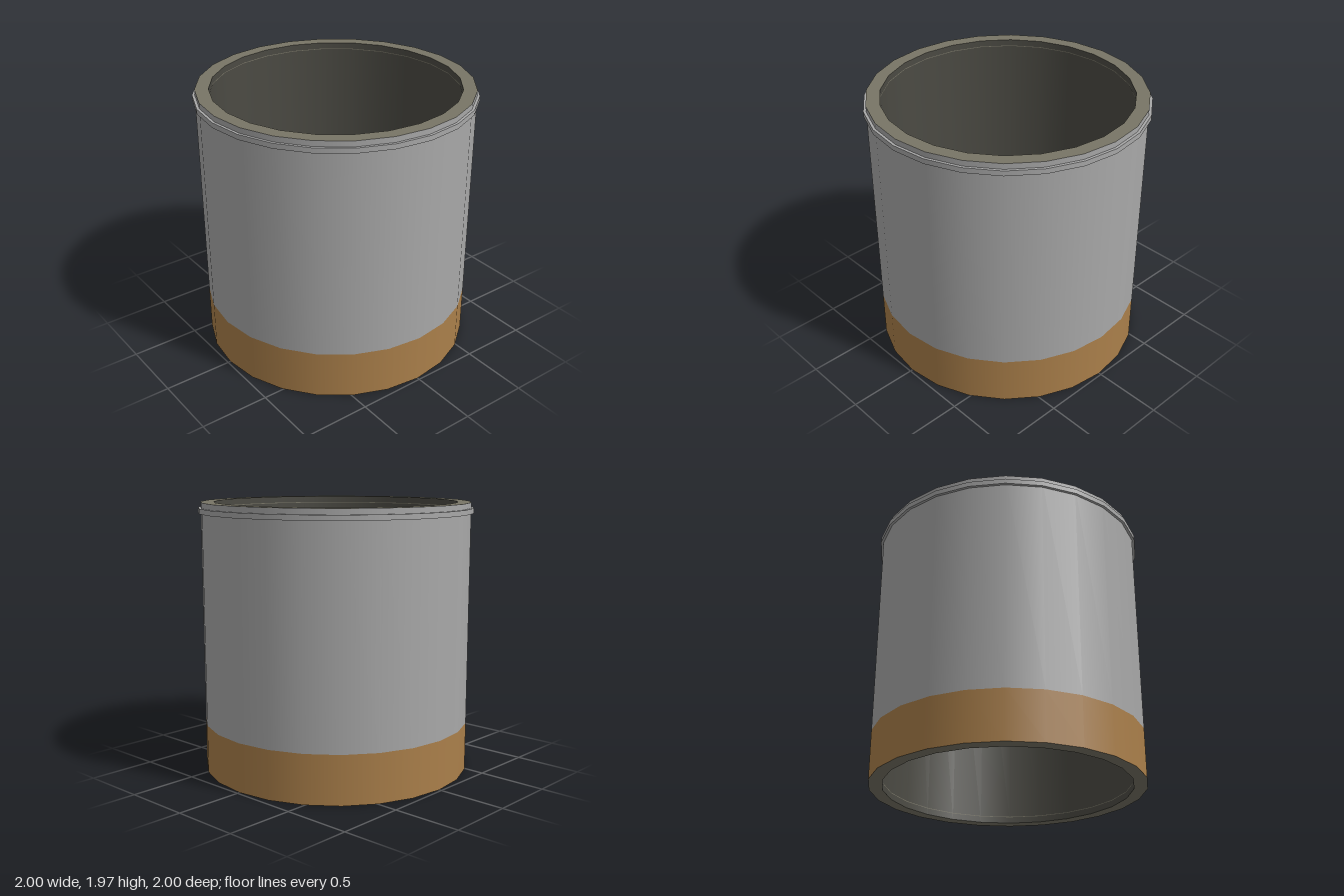
import * as THREE from 'three';

const SIDES = 24;
const OUTER = 0.981, INNER = 0.885, HEIGHT = 1.965, BAND_TOP = 0.355;

const paint = (name, color) => {
  const m = new THREE.MeshStandardMaterial({ color });
  m.name = name;
  return m;
};

export function createModel() {
  const model = new THREE.Group();
  const grey = paint('grey shell', 0xa8a8a8);
  const tan = paint('tan band', 0xaa7f4a);
  const olive = paint('olive rim', 0x787566);
  const dark = paint('dark lining', 0x4b4a43);

  const add = (name, geometry, material) => {
    const mesh = new THREE.Mesh(geometry, material);
    mesh.name = name;
    model.add(mesh);
    return mesh;
  };

  // One turned strip between two profile points; separate strips keep edges sharp
  const strip = (name, material, r0, y0, r1, y1) => {
    const profile = [new THREE.Vector2(r0, y0), new THREE.Vector2(r1, y1)];
    add(name, new THREE.LatheGeometry(profile, SIDES), material);
  };

  // Open tube
  strip('lowerBand', tan, OUTER, 0, OUTER, BAND_TOP);
  strip('outerWall', grey, OUTER, BAND_TOP, OUTER, HEIGHT);
  strip('topRim', olive, OUTER, HEIGHT, INNER, HEIGHT);
  strip('innerWall', dark, INNER, HEIGHT, INNER, 0);
  strip('bottomRim', olive, INNER, 0, OUTER, 0);

  // Thin collar just below the rim
  strip('collarUnderside', grey, OUTER, 1.888, 1, 1.888);
  strip('collarEdge', grey, 1, 1.888, 1, 1.925);
  strip('collarTop', grey, 1, 1.925, OUTER, 1.925);

  // Round reinforcing hoops set into the wall at both ends
  const hoopGeometry = new THREE.TorusGeometry(0.932, 0.048, 8, SIDES).rotateX(Math.PI / 2);
  add('upperHoop', hoopGeometry, olive).position.y = HEIGHT - 0.049;
  add('lowerHoop', hoopGeometry, olive).position.y = 0.049;

  return model;
}
